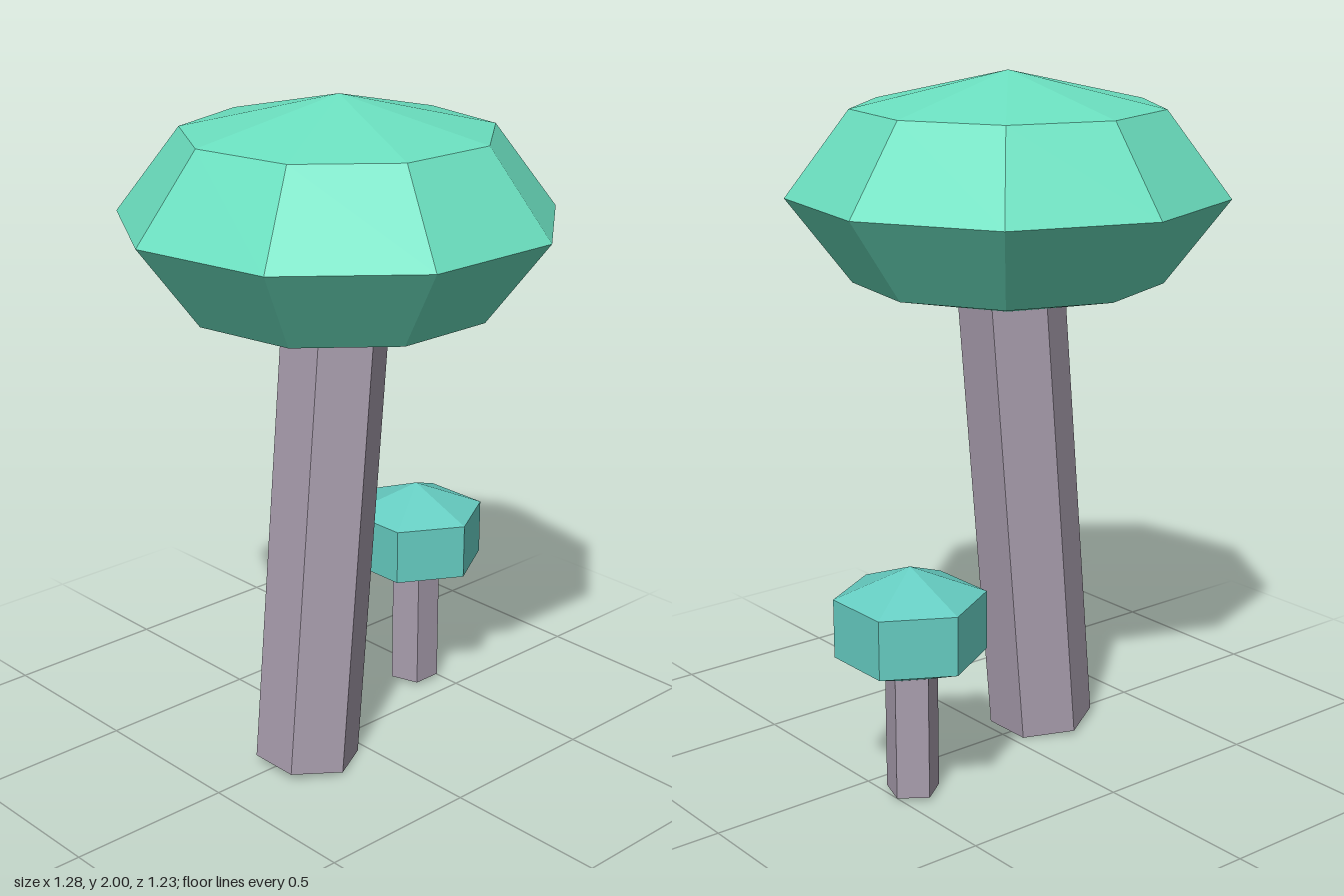
import * as THREE from 'three';

const flat = (name, color) => {
  const m = new THREE.MeshStandardMaterial({ color, flatShading: true });
  m.name = name;
  return m;
};

export function createModel() {
  const group = new THREE.Group();
  group.name = 'mushroomTrees';

  const bark = flat('mauve bark', 0xa99eae);
  const green = flat('mint green', 0x6be0c0);
  const teal = flat('teal', 0x66cdc2);

  const add = (name, geometry, material, x, y, z) => {
    const mesh = new THREE.Mesh(geometry, material);
    mesh.name = name;
    mesh.position.set(x, y, z);
    group.add(mesh);
    return mesh;
  };

  // Faceted, flattened crown with one corner pointing straight back
  const crown = (radius, halfHeight, sides, bands) =>
    new THREE.SphereGeometry(radius, sides, bands, -Math.PI / 2)
      .scale(1, halfHeight / radius, 1);

  // Straight prism standing on its base, with one corner pointing straight back
  const stem = (radius, height, sides) =>
    new THREE.CylinderGeometry(radius, radius, height, sides, 1, false, Math.PI)
      .translate(0, height / 2, 0);

  // Large leaning tree
  const trunk = add('largeTrunk', stem(0.157, 1.4, 6), bark, -0.168, 0.015, 0.02);
  trunk.rotation.z = -THREE.MathUtils.degToRad(5);
  add('largeCrown', crown(0.632, 0.345, 9, 4), green, -0.035, 1.655, 0.017);

  // Small upright tree
  add('smallTrunk', stem(0.078, 0.45, 5), bark, 0.44, 0.015, -0.137);
  add('smallCrown', crown(0.247, 0.17, 6, 3), teal, 0.44, 0.515, -0.137);

  return group;
}
